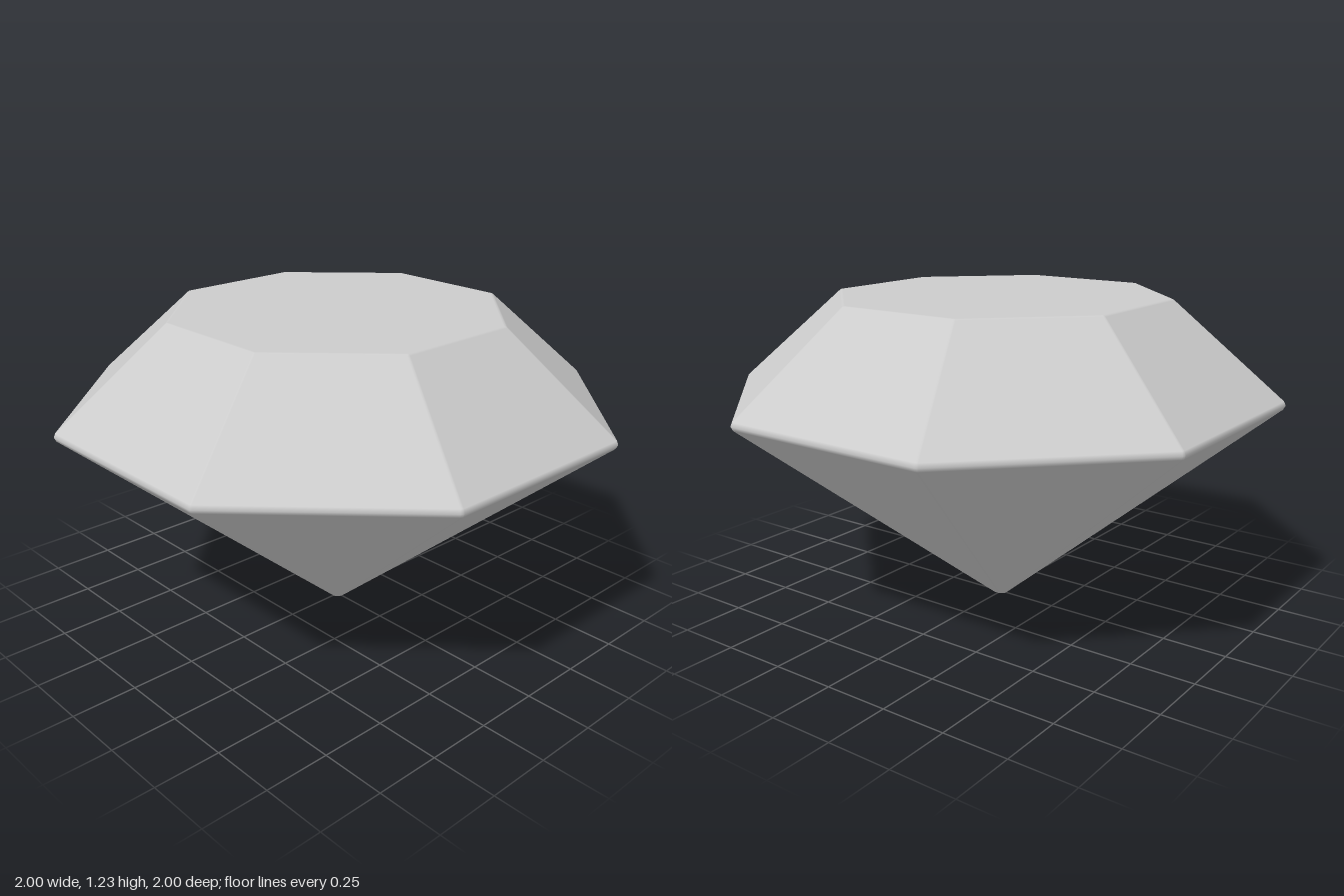
import * as THREE from 'three';
import { ConvexGeometry } from 'three/addons/geometries/ConvexGeometry.js';

const SIDES = 8;
const R = 0.02; // edge rounding radius
// Octagon levels of the rounding centres: [apothem, y]
const TABLE = [0.595, 1.23 - R];
const GIRDLE = [1 - R, 0.85];
const CULET = [0.018, R];

const angle = (k) => (k * Math.PI * 2) / SIDES;

// Outward normal of the facet k spanning two levels
function facetNormal([a0, y0], [a1, y1], k) {
  const out = y1 - y0, up = a0 - a1;
  return new THREE.Vector3(out * Math.sin(angle(k)), up, out * Math.cos(angle(k))).normalize();
}

// Corner between facets k and k + 1 on a level
function corner([a, y], k) {
  const r = a / Math.cos(Math.PI / SIDES), t = angle(k + 0.5);
  return new THREE.Vector3(r * Math.sin(t), y, r * Math.cos(t));
}

// Rounding directions at a corner: facets, edges between them, and the middle
function roundDirections(normals) {
  const middle = normals.reduce((s, n) => s.add(n), new THREE.Vector3()).normalize();
  const edges = normals.map((n, i) => n.clone().add(normals[(i + 1) % normals.length]).normalize());
  return [...normals, ...edges, middle];
}

export function createModel() {
  const group = new THREE.Group();
  group.name = 'gem';

  const up = new THREE.Vector3(0, 1, 0), down = new THREE.Vector3(0, -1, 0);
  const samples = [];
  const addCorner = (centre, normals) => {
    for (const normal of roundDirections(normals)) {
      samples.push({ normal, point: centre.clone().addScaledVector(normal, R) });
    }
  };
  for (let k = 0; k < SIDES; k++) {
    const c0 = facetNormal(GIRDLE, TABLE, k), c1 = facetNormal(GIRDLE, TABLE, k + 1);
    const p0 = facetNormal(CULET, GIRDLE, k), p1 = facetNormal(CULET, GIRDLE, k + 1);
    addCorner(corner(TABLE, k), [up, c0, c1]);
    addCorner(corner(GIRDLE, k), [c0, c1, p1, p0]);
    addCorner(corner(CULET, k), [down, p0, p1]);
  }

  // Flat facets joined by softly rounded edges
  const geometry = new ConvexGeometry(samples.map((s) => s.point));
  const pos = geometry.attributes.position, nor = geometry.attributes.normal;
  const v = new THREE.Vector3();
  for (let i = 0; i < pos.count; i++) {
    v.fromBufferAttribute(pos, i);
    let best = samples[0];
    for (const s of samples) {
      if (s.point.distanceToSquared(v) < best.point.distanceToSquared(v)) best = s;
    }
    nor.setXYZ(i, best.normal.x, best.normal.y, best.normal.z);
  }

  const gem = new THREE.Mesh(geometry, new THREE.MeshStandardMaterial({ color: 0xcccccc }));
  gem.name = 'facetedStone';
  group.add(gem);
  return group;
}
